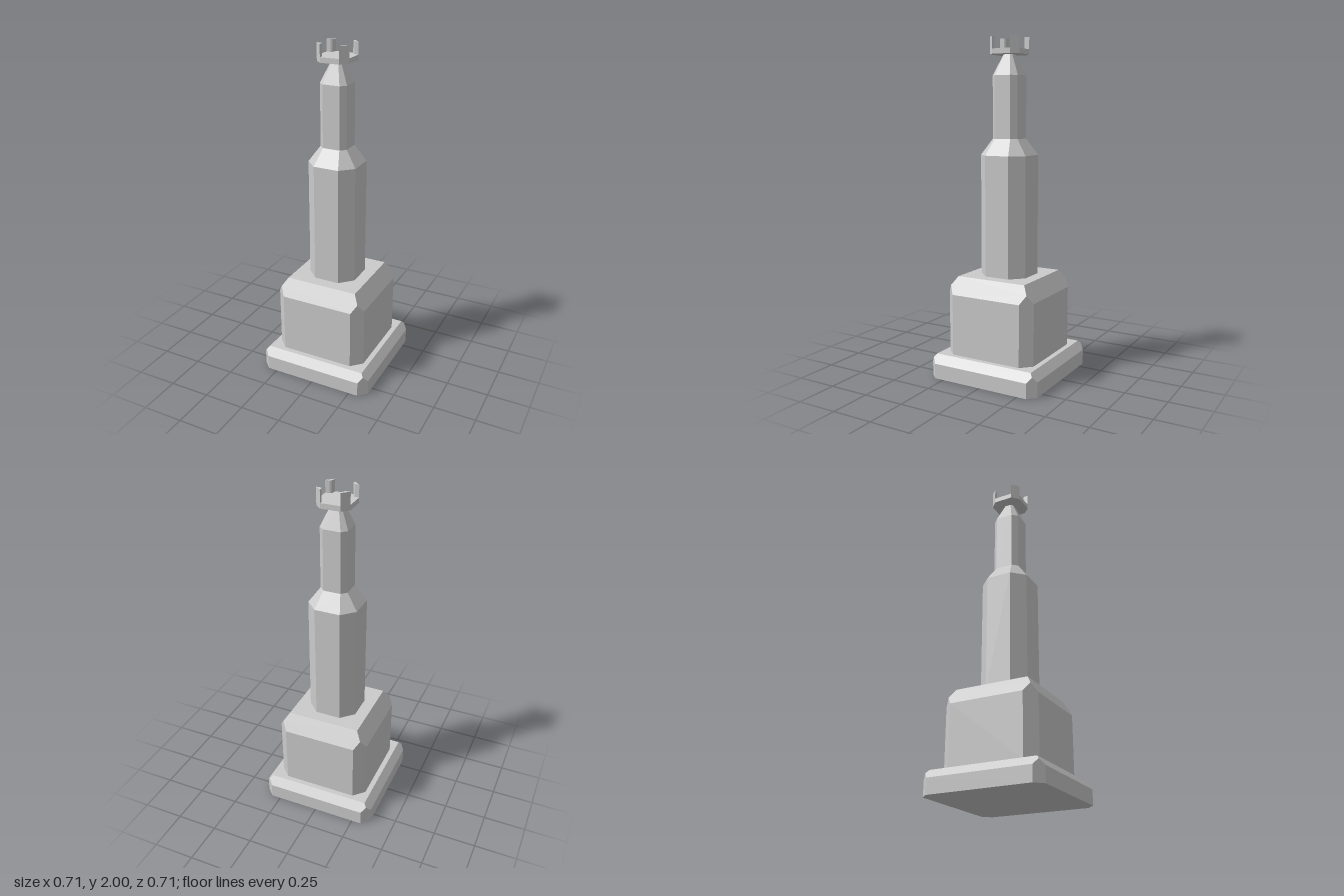
import * as THREE from 'three';
import { ConvexGeometry } from 'three/addons/geometries/ConvexGeometry.js';

const material = new THREE.MeshStandardMaterial({ color: 0xcccccc, flatShading: true });

function addMesh(parent, name, geometry) {
  const mesh = new THREE.Mesh(geometry, material);
  mesh.name = name;
  parent.add(mesh);
  return mesh;
}

// Square with cut corners: half is the half width, c the half length of a flat side
const octagon = (half, c) => [
  [half, c], [c, half], [-c, half], [-half, c],
  [-half, -c], [-c, -half], [c, -half], [half, -c],
];

// Square block with bevelled corners and a bevelled top rim
function bevelledBlock(half, c, top, y0, yShoulder, yTop) {
  const pts = [];
  for (const [x, z] of octagon(half, c)) {
    pts.push(new THREE.Vector3(x, y0, z), new THREE.Vector3(x, yShoulder, z));
  }
  // where the two top bevels meet the corner bevel
  const d = (half + c) / 2;
  const yd = yShoulder + (yTop - yShoulder) * (half - d) / (half - top);
  for (const sx of [-1, 1]) for (const sz of [-1, 1]) {
    pts.push(new THREE.Vector3(sx * d, yd, sz * d), new THREE.Vector3(sx * top, yTop, sz * top));
  }
  return new ConvexGeometry(pts);
}

// Closed loft through octagonal sections [y, half, c], listed from bottom to top
function octagonLoft(sections) {
  const positions = [], index = [], n = 8;
  for (const [y, half, c] of sections) {
    for (const [x, z] of octagon(half, c)) positions.push(x, y, z);
  }
  for (let s = 0; s < sections.length - 1; s++) {
    for (let i = 0; i < n; i++) {
      const a = s * n + i, b = s * n + (i + 1) % n;
      index.push(a, a + n, b, b, a + n, b + n);
    }
  }
  const t = (sections.length - 1) * n;
  for (let i = 1; i < n - 1; i++) {
    index.push(0, i, i + 1);
    index.push(t, t + i + 1, t + i);
  }
  const g = new THREE.BufferGeometry();
  g.setAttribute('position', new THREE.Float32BufferAttribute(positions, 3));
  g.setIndex(index);
  const flat = g.toNonIndexed();
  flat.computeVertexNormals();
  return flat;
}

export function createModel() {
  const group = new THREE.Group();
  group.name = 'tower';

  // Stepped base
  addMesh(group, 'baseSlab', bevelledBlock(0.355, 0.307, 0.316, 0, 0.09, 0.14));
  addMesh(group, 'plinth', bevelledBlock(0.285, 0.223, 0.222, 0.14, 0.505, 0.605));

  // Tapering shaft
  addMesh(group, 'shaft', octagonLoft([
    [0.6, 0.15, 0.077],
    [1.32, 0.15, 0.077],
    [1.415, 0.083, 0.052],
    [1.78, 0.083, 0.052],
    [1.902, 0.029, 0.018],
  ]));

  // Crown: a plate with four corner prongs
  const crown = new THREE.Group();
  crown.name = 'crown';
  group.add(crown);
  addMesh(crown, 'crownPlate', octagonLoft([[1.9, 0.098, 0.058], [1.93, 0.098, 0.058]]));

  const outline = [[0.098, 0.058], [0.058, 0.098], [0.059, 0.073], [0.064, 0.064], [0.073, 0.059]];
  const prong = new THREE.ExtrudeGeometry(
    new THREE.Shape(outline.map(([x, y]) => new THREE.Vector2(x, y))),
    { depth: 0.1, bevelEnabled: false },
  );
  prong.rotateX(-Math.PI / 2).translate(0, 1.9, 0);
  for (let i = 0; i < 4; i++) {
    addMesh(crown, 'crownProng', prong).rotation.y = i * Math.PI / 2;
  }
  return group;
}
